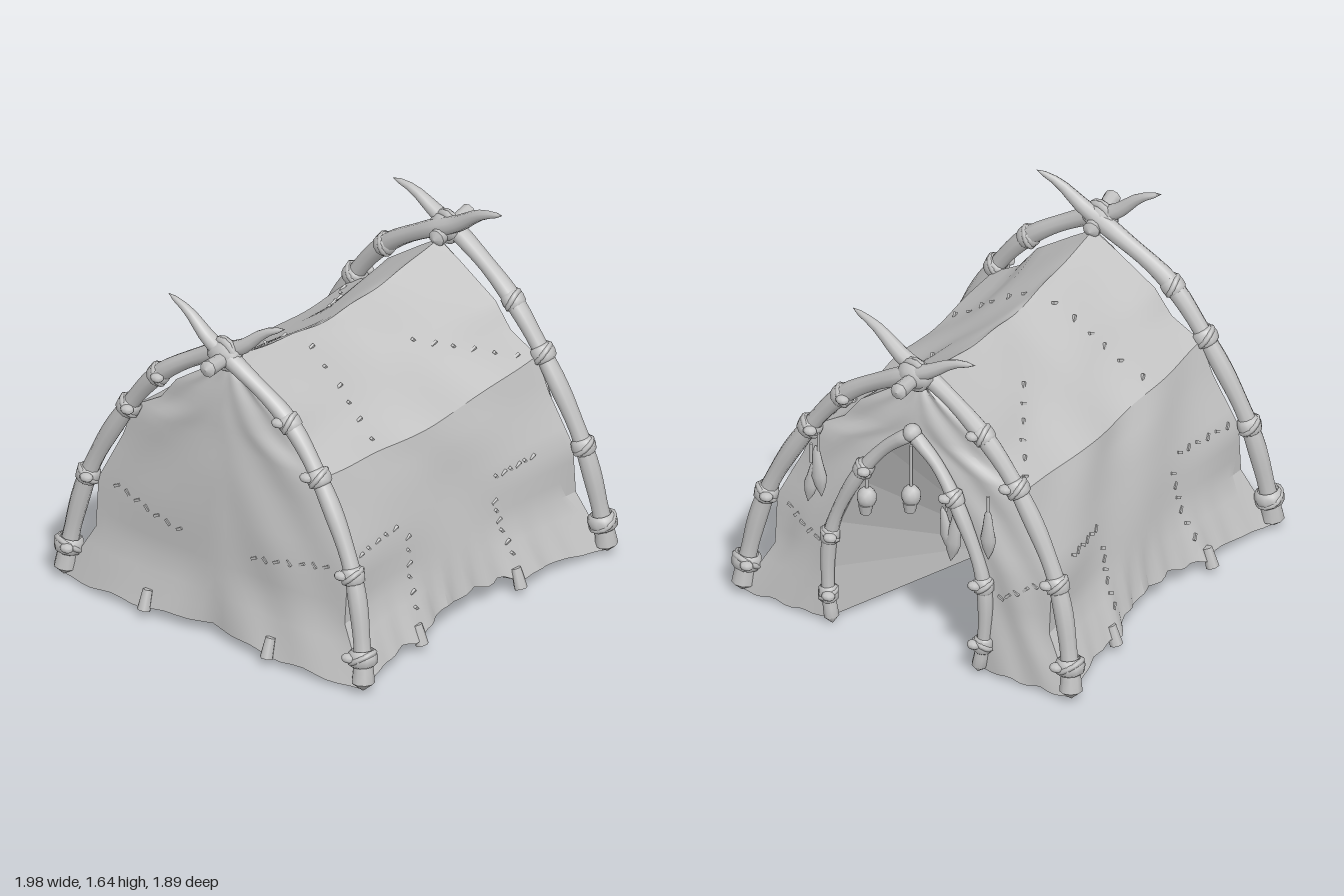
import * as THREE from 'three';
import { mergeGeometries, mergeVertices, toCreasedNormals } from 'three/addons/utils/BufferGeometryUtils.js';

const V = (x, y, z) => new THREE.Vector3(x, y, z);
const clay = new THREE.MeshStandardMaterial({ color: 0xc2c2c2, side: THREE.DoubleSide });
clay.name = 'pale grey';

// Profiles from hem to ridge: end edge, mid-length section, door edge, rear wall centre
const EDGE = [[.88, .03, .89], [.83, .3, .74], [.81, .55, .74], [.78, .8, .62], [.77, .97, .56], [.76, 1.06, .41], [.76, 1.18, .32], [.75, 1.32, .12], [.74, 1.4, 0]];
const MID = [[0, .12, .77], [0, .33, .72], [0, .55, .67], [0, .78, .62], [0, .93, .57], [0, 1.06, .37], [0, 1.16, .23], [0, 1.27, .07], [0, 1.31, 0]];
const DOOR = [[.88, .03, .42], [.87, .3, .41], [.86, .55, .37], [.84, .8, .27], [.82, 1, .13], [.8, 1.13, 0], [.79, 1.2, 0], [.77, 1.32, 0], [.74, 1.4, 0]];
const REAR = [[.88, .07, 0], [.87, .3, 0], [.86, .55, 0], [.84, .8, 0], [.82, .97, 0], [.81, 1.1, 0], [.79, 1.22, 0], [.77, 1.34, 0], [.74, 1.4, 0]];

function at(list, t) {
  const i = Math.min(7, Math.floor(t));
  return V(...list[i]).lerp(V(...list[i + 1]), t - i);
}

// Long roof panel on side s; u runs -1..1 along x, t runs 0..8 up
const roof = (s) => (u, t) => {
  const e = at(EDGE, t), f = 1 - Math.abs(u) ** 1.5, hem = Math.max(0, 1 - t);
  const p = e.clone().lerp(at(MID, t), f);
  const fade = f * Math.sin(Math.PI * t / 8);
  p.x = e.x * u;
  p.z = s * (p.z + .014 * fade * Math.sin(u * 7 + t * 1.7 + s));
  p.y += .006 * fade * Math.sin(u * 9 + s);
  // hem is pulled out and down at the pegs and ragged between them
  const pull = hem * Math.exp(-(((Math.abs(u) - .43) / .1) ** 2));
  p.z += s * (.035 * pull + .012 * hem * f * Math.sin(u * 37 + s));
  p.y += hem * f * .012 * Math.sin(u * 29) - .02 * pull;
  if (t === 8) p.set(p.x, e.y + (1.31 - e.y) * f + .008 * f * Math.sin(u * 11), 0);
  return p;
};
// Half of an end wall; w runs from the inner line to the corner
const wall = (k, s, inner, flare) => (w, t) => {
  const p = at(inner, t).lerp(at(EDGE, t), w), hem = Math.max(0, 1 - t), belly = Math.sin(Math.PI * w);
  p.x = k * (p.x + .015 * belly * Math.sin(Math.PI * t / 8) + flare * hem * belly + .008 * Math.sin(w * 9 + t * 2) * w * (1 - w) * 4);
  p.y -= .012 * hem * belly * Math.sin(w * 17);
  p.z *= s;
  return p;
};
const rearWall = (s) => wall(-1, s, REAR, .06);
const doorWall = (s) => wall(1, s, DOOR, .015);

function build(pos, index) {
  const g = new THREE.BufferGeometry();
  g.setAttribute('position', new THREE.Float32BufferAttribute(pos.flatMap((p) => [p.x, p.y, p.z]), 3));
  g.setIndex(index);
  return g;
}
function patch(P, u0, nu, flip) {
  const pos = [], idx = [], nv = 24;
  for (let j = 0; j <= nv; j++) for (let i = 0; i <= nu; i++) pos.push(P(u0 + (1 - u0) * i / nu, 8 * j / nv));
  for (let j = 0; j < nv; j++) for (let i = 0; i < nu; i++) {
    const a = j * (nu + 1) + i, b = a + 1, c = a + nu + 1, d = c + 1;
    idx.push(...(flip ? [a, c, b, b, c, d] : [a, b, c, b, d, c]));
  }
  return build(pos, idx);
}

// Tapered, capped tube along a curve
function limb(curve, radius, seg = 26, sides = 9) {
  const g = new THREE.TubeGeometry(curve, seg, 1, sides), p = g.attributes.position;
  for (let j = 0; j <= seg; j++) {
    const end = j === 0 || j === seg, u = j / seg;
    const c = curve.getPointAt(u), cap = curve.getPointAt(j === 0 ? 1 / seg / 4 : 1 - 1 / seg / 4);
    for (let i = 0; i <= sides; i++) {
      const k = j * (sides + 1) + i, v = V(0, 0, 0).fromBufferAttribute(p, k).sub(c);
      v.multiplyScalar(end ? 0 : radius(u)).add(end ? cap : c);
      p.setXYZ(k, v.x, v.y, v.z);
    }
  }
  return toCreasedNormals(g, .9);
}

export function createModel() {
  const root = new THREE.Group();
  const add = (name, geo, parent = root) => {
    const m = new THREE.Mesh(geo, clay);
    m.name = name;
    parent.add(m);
    return m;
  };
  const group = (name) => {
    const g = new THREE.Group();
    g.name = name;
    root.add(g);
    return g;
  };
  const smooth = (geos) => toCreasedNormals(mergeVertices(mergeGeometries(geos)), .45);
  const lump = (r) => toCreasedNormals(new THREE.IcosahedronGeometry(r, 1), .8);

  // Hide cover
  add('hideRoof', smooth([1, -1].map((s) => patch(roof(s), -1, 48, s < 0))));
  add('rearHide', smooth([1, -1].map((s) => patch(rearWall(s), 0, 14, s > 0))));
  add('doorwayHide', smooth([1, -1].map((s) => patch(doorWall(s), 0, 12, s < 0))));

  // Floor and inner lining: a fan from the floor centre to the hem and door edge
  const fan = [];
  const strip = (f, n) => { for (let i = 0; i < n; i++) fan.push(V(0, .1, 0), f(i / n), f((i + 1) / n)); };
  for (const s of [1, -1]) {
    strip((q) => roof(s)(2 * q - 1, 0), 48);
    strip((q) => rearWall(s)(q, 0), 14);
    strip((q) => doorWall(s)(q, 0), 12);
    strip((q) => doorWall(s)(0, 5 * q), 15);
  }
  const lining = build(fan, fan.map((_, i) => i));
  lining.computeVertexNormals();
  add('floorLining', lining);

  // Lashing: a bulging band with one crooked cord and a knot on the outside
  const lashings = group('lashings');
  const band = new THREE.LatheGeometry([[.8, -.04], [1.05, -.03], [1.15, 0], [1.05, .03], [.8, .04]].map(([x, y]) => new THREE.Vector2(x, y)), 10);
  band.rotateX(Math.PI / 2);
  const lash = (curve, u, r, k) => {
    const g = new THREE.Group(), c = curve.getPointAt(u);
    g.name = 'lashing';
    add('bandWrap', band, g).scale.set(r, r, 1);
    add('cordLoop', new THREE.TorusGeometry(r, .014, 6, 12), g).rotation.set(.35, .3, 0);
    g.position.copy(c);
    g.lookAt(c.clone().add(curve.getTangentAt(u)));
    lashings.add(g);
    const knot = add('knot', lump(.028), lashings);
    knot.position.set(c.x + k * r, c.y + .01, c.z - Math.sign(c.z) * r * .6);
    knot.scale.set(1, .8, 1.2);
  };

  // Crossing bone poles at both ends, each ending in a curved horn: [end, side, tip x, y, z]
  const poles = group('archPoles');
  for (const [k, s, tx, ty, tz] of [[1, 1, .79, 1.59, .33], [1, -1, .74, 1.65, .39], [-1, 1, .82, 1.66, .33], [-1, -1, .72, 1.64, .31]]) {
    const o = s * .02;
    const c = new THREE.CatmullRomCurve3([[.88, .01, .89], [.86, .2, .87], [.825, .58, .78], [.8, .98, .565], [.795, 1.22, .37], [.79 + o, 1.4, .1], [.79 + o, 1.49, -.08], [(.79 + o + tx) / 2, (1.5 + ty) / 2 + .02, -.08 - (tz - .08) * .5], [tx, ty, -tz]]
      .map(([x, y, z]) => V(k * x, y, s * z)));
    add('archPole', limb(c, (u) => u > .82 ? .042 - .036 * ((u - .82) / .18) ** 1.5 : .043 + .003 * Math.cos(u * 31) + .012 * Math.max(0, 1 - u * 9), 40), poles);
    for (const [u, r] of [[.08, .062], [.26, .051], [.48, .053], [.61, .049]]) lash(c, u, r, k);
  }

  // Ridge stubs and crown knots
  for (const k of [1, -1]) {
    const stub = new THREE.LineCurve3(V(k * .68, 1.41, k * .01), V(k, 1.445, k > 0 ? -.015 : .045));
    add('ridgeStub', limb(stub, (u) => .044 - .008 * Math.sin(u * 3), 10));
    const crown = add('crownKnot', lump(.07));
    crown.position.set(k * .8, 1.44, 0);
    crown.scale.set(.9, 1, 1.35);
    for (const a of [.6, -.6]) {
      const wrap = add('crownCord', new THREE.TorusGeometry(.068, .018, 6, 14));
      wrap.position.set(k * .8, 1.44, 0);
      wrap.rotation.set(a, Math.PI / 2 * .85, 0);
    }
  }

  // Doorway arch
  for (const s of [1, -1]) {
    const c = new THREE.CatmullRomCurve3([[.89, 0, .39], [.885, .2, .42], [.875, .5, .41], [.865, .82, .28], [.84, 1.02, .14], [.83, 1.15, -.015]].map(([x, y, z]) => V(x, y, s * z)));
    add('doorArch', limb(c, (u) => .034 + .003 * Math.cos(u * 19)));
    for (const u of [.13, .37, .71]) lash(c, u, .042, 1);
  }
  add('archKnot', lump(.045)).position.set(.83, 1.14, 0);

  // Hanging charms and feathers on the doorway side
  const charms = group('charms');
  const cord = (x, y0, y1, z) => add('cord', new THREE.CylinderGeometry(.008, .008, y0 - y1, 6), charms).position.set(x, (y0 + y1) / 2, z);
  for (const [y, z, top] of [[.73, .22, .9], [.82, -.02, 1.1]]) {
    cord(.87, top, y, z);
    const head = add('carvedCharm', lump(.05), charms);
    head.position.set(.87, y + .01, z);
    head.scale.set(.95, 1.1, .95);
    const jaw = add('charmJaw', new THREE.CylinderGeometry(.036, .026, .05, 7), charms);
    jaw.position.set(.88, y - .045, z);
  }
  const quill = new THREE.LatheGeometry([[.004, .13], [.02, .1], [.03, .03], [.042, -.03], [.03, -.08], [.001, -.14]].map(([x, y]) => new THREE.Vector2(x, y)), 8);
  for (const [y, z, tilt, size] of [[.8, .48, .12, 1], [.73, .52, -.15, .85], [.69, -.25, -.12, 1.05], [.71, -.21, .2, .9], [.76, -.435, 0, 1]]) {
    cord(.87, y + .2, y + .1, z);
    const f = add('feather', quill, charms);
    f.position.set(.87, y, z);
    f.rotation.x = tilt;
    f.scale.set(.6 * size, size, size);
  }

  // Hem pegs
  const pegs = group('pegs');
  for (const [x, z] of [[-.39, .82], [.32, .82], [-.4, -.84], [.4, -.82], [-.93, .37], [-.93, -.36]]) {
    const p = add('peg', new THREE.CylinderGeometry(.024, .032, .1, 7), pegs);
    p.position.set(x, .09, z);
    if (Math.abs(x) > .8) p.rotation.z = -.3; else p.rotation.x = -.3 * Math.sign(z);
  }

  // Stitches along the hide seams
  const stitches = group('stitches');
  const stitch = (P, u, t, i) => {
    const b = add('stitch', new THREE.BoxGeometry(.034, .013, .013), stitches);
    b.position.copy(P(u, t));
    b.rotation.set(.3, Math.abs(b.position.x) > .8 ? Math.PI / 2 : 0, i % 2 ? .5 : -.8);
  };
  const seams = [[-.42, .5, -.4, 1.9], [-.92, 2.1, -.5, 2.2], [.39, .5, .36, 1.6], [.4, 2.1, .7, 2.1], [-.45, 4.3, -.36, 7], [.33, 6, .88, 4.3]];
  for (const s of [1, -1]) {
    for (const [u0, t0, u1, t1] of seams) for (let i = 0; i < 6; i++) stitch(roof(s), u0 + (u1 - u0) * i / 5, t0 + (t1 - t0) * i / 5, i);
    for (let i = 0; i < 7; i++) stitch(rearWall(s), .3 + .09 * i, 1.7 + .05 * i, i);
    for (let i = 0; i < 5; i++) stitch(doorWall(s), .3 + .12 * i, 1.5 + .1 * i, i);
  }
  return root;
}
